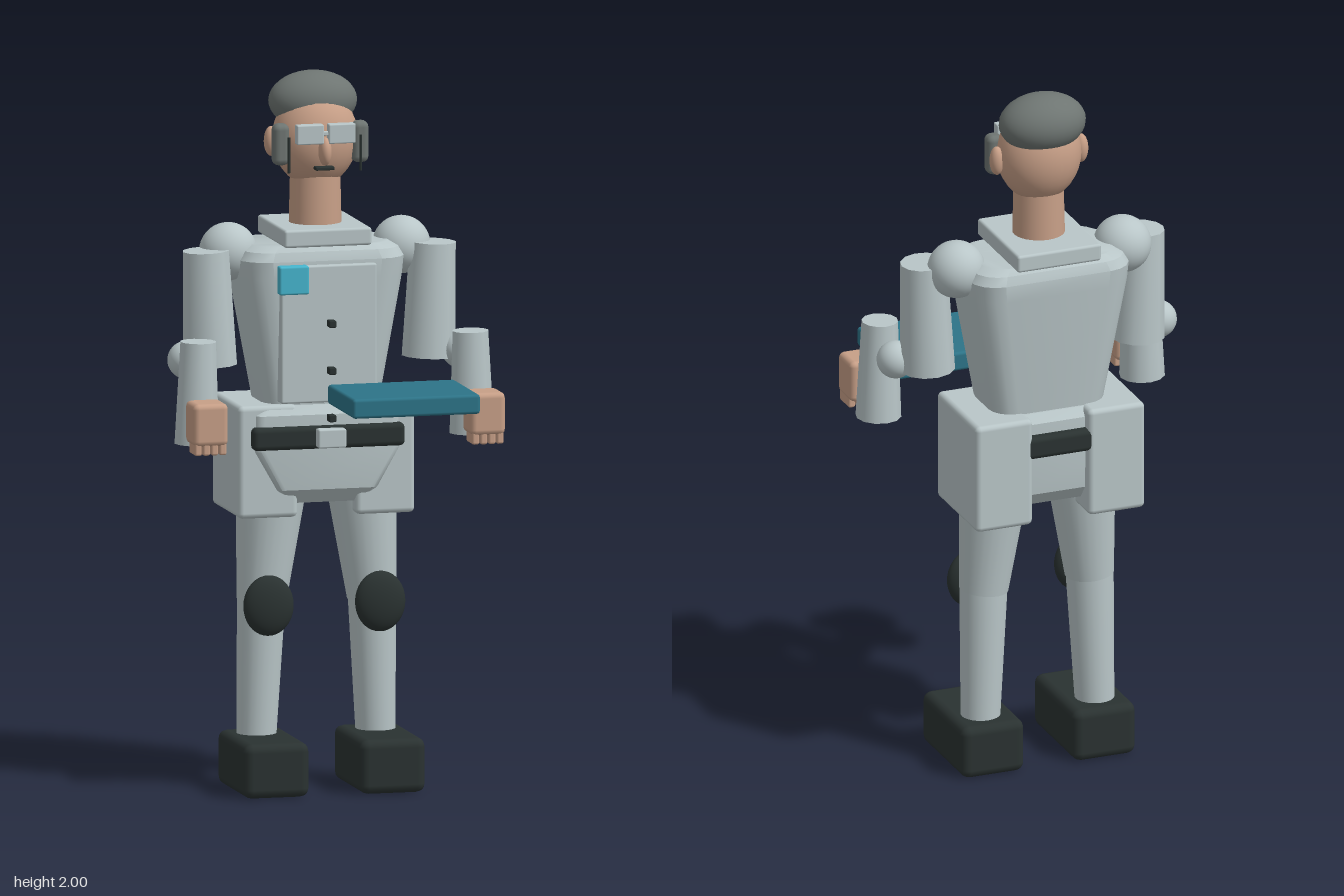
import * as THREE from 'three';
import { toCreasedNormals } from 'three/addons/utils/BufferGeometryUtils.js';
import { RoundedBoxGeometry } from 'three/addons/geometries/RoundedBoxGeometry.js';

const material = (name, color) => {
  const m = new THREE.MeshStandardMaterial({ color });
  m.name = name;
  return m;
};

export function createModel() {
  const suit = material('pale grey suit', 0xb9c6c8);
  const skin = material('skin', 0xc79f87);
  const hairGrey = material('grey hair', 0x6e7572);
  const dark = material('charcoal', 0x2a3231);
  const teal = material('teal tablet', 0x2d7488);
  const cyan = material('cyan badge', 0x46b5cd);

  const model = new THREE.Group();
  model.name = 'technician';

  const add = (name, geometry, mat, x = 0, y = 0, z = 0) => {
    const mesh = new THREE.Mesh(geometry, mat);
    mesh.name = name;
    mesh.position.set(x, y, z);
    model.add(mesh);
    return mesh;
  };

  // Rounded box given by its limits on each axis
  const block = (name, mat, [x0, x1], [y0, y1], [z0, z1], r = 0.01) =>
    add(name, new RoundedBoxGeometry(x1 - x0, y1 - y0, z1 - z0, 2, r), mat,
      (x0 + x1) / 2, (y0 + y1) / 2, (z0 + z1) / 2);

  const ellipsoid = (name, mat, x, y, z, rx, ry = rx, rz = rx) => {
    const mesh = add(name, new THREE.SphereGeometry(1, 28, 18), mat, x, y, z);
    mesh.scale.set(rx, ry, rz);
    return mesh;
  };

  // Tapered limb between two points, a at the top
  const limb = (name, mat, a, b, ra, rb, sides = 24) => {
    const top = new THREE.Vector3(...a), bottom = new THREE.Vector3(...b);
    const dir = top.clone().sub(bottom);
    const mid = top.clone().add(bottom).multiplyScalar(0.5);
    const mesh = add(name, new THREE.CylinderGeometry(ra, rb, dir.length(), sides), mat, mid.x, mid.y, mid.z);
    mesh.quaternion.setFromUnitVectors(new THREE.Vector3(0, 1, 0), dir.normalize());
    return mesh;
  };

  // Loft through rounded rectangles [y, halfX, halfZ, centreZ, cornerRadius]
  const loft = (sections) => {
    const steps = 4, n = 4 * (steps + 1), pos = [], idx = [];
    for (const [y, hx, hz, cz, r] of sections) {
      for (let c = 0; c < 4; c++) {
        const sx = c === 0 || c === 3 ? 1 : -1, sz = c < 2 ? 1 : -1;
        for (let s = 0; s <= steps; s++) {
          const t = (c + s / steps) * Math.PI / 2;
          pos.push(sx * (hx - r) + r * Math.cos(t), y, cz + sz * (hz - r) + r * Math.sin(t));
        }
      }
    }
    for (let k = 0; k < sections.length - 1; k++) {
      for (let i = 0; i < n; i++) {
        const j = (i + 1) % n, a = k * n + i, b = k * n + j;
        idx.push(a, a + n, b, b, a + n, b + n);
      }
    }
    const last = (sections.length - 1) * n;
    for (let i = 1; i < n - 1; i++) {
      idx.push(0, i, i + 1, last, last + i + 1, last + i);
    }
    const g = new THREE.BufferGeometry();
    g.setAttribute('position', new THREE.Float32BufferAttribute(pos, 3));
    g.setIndex(idx);
    return toCreasedNormals(g, 0.5);
  };

  // Torso and hips
  add('torso', loft([
    [0.98, 0.15, 0.105, -0.16, 0.06],
    [1.44, 0.232, 0.14, -0.167, 0.08],
    [1.49, 0.236, 0.143, -0.167, 0.08],
    [1.515, 0.222, 0.132, -0.167, 0.075],
    [1.53, 0.195, 0.112, -0.167, 0.065],
  ]), suit);
  add('hips', loft([
    [0.81, 0.12, 0.11, -0.16, 0.03],
    [0.85, 0.15, 0.14, -0.16, 0.03],
    [0.96, 0.21, 0.145, -0.16, 0.03],
    [1.06, 0.21, 0.14, -0.16, 0.03],
    [1.085, 0.19, 0.12, -0.16, 0.03],
  ]), suit);
  block('belt', dark, [-0.218, 0.218], [0.965, 1.03], [-0.328, -0.002], 0.015);
  block('buckle', suit, [-0.04, 0.04], [0.972, 1.025], [-0.005, 0.03], 0.005);

  // Jacket details
  block('frontPanel', suit, [-0.137, 0.137], [1.095, 1.48], [-0.06, -0.008], 0.006);
  for (const y of [1.32, 1.188, 1.055])
    block('button', dark, [-0.01, 0.01], [y - 0.01, y + 0.01], [0.002, 0.033], 0.003);
  block('chestBadge', cyan, [-0.15, -0.065], [1.405, 1.485], [-0.01, 0.024], 0.006);
  block('collar', suit, [-0.125, 0.125], [1.53, 1.58], [-0.32, -0.017], 0.008);

  // Head
  add('neck', new THREE.CylinderGeometry(0.07, 0.074, 0.17, 28), skin, 0, 1.63, -0.163);
  ellipsoid('head', skin, 0, 1.816, -0.165, 0.12, 0.138, 0.107);
  ellipsoid('hair', hairGrey, 0, 1.917, -0.19, 0.125, 0.083, 0.095);
  ellipsoid('nose', skin, 0, 1.792, -0.055, 0.018, 0.04, 0.026);
  block('mouth', dark, [-0.027, 0.027], [1.739, 1.749], [-0.085, -0.05], 0.003);
  block('glassesBridge', suit, [-0.02, 0.02], [1.837, 1.849], [-0.06, -0.046], 0.003);

  // Tablet held by the left hand
  block('tablet', teal, [-0.02, 0.345], [1.1, 1.155], [0.047, 0.33], 0.009);

  // Mirrored parts
  for (const s of [-1, 1]) {
    const side = (a, b) => (s > 0 ? [a, b] : [-b, -a]);

    ellipsoid('ear', skin, s * 0.126, 1.81, -0.165, 0.02, 0.042, 0.022);
    block('sideburn', hairGrey, side(0.09, 0.137), [1.75, 1.867], [-0.134, -0.086], 0.018);
    block('lens', suit, side(0.007, 0.084), [1.815, 1.87], [-0.066, -0.036], 0.004);
    add('glassesArm', new THREE.CylinderGeometry(0.004, 0.004, 0.1, 8), dark, s * 0.103, 1.785, -0.057);

    // Arm
    ellipsoid('shoulder', suit, s * 0.248, 1.505, -0.168, 0.081);
    limb('upperArm', suit, [s * 0.325, 1.518, -0.117], [s * 0.313, 1.198, -0.117], 0.066, 0.077, 12);
    ellipsoid('elbow', suit, s * 0.392, 1.22, -0.075, 0.053);
    limb('forearm', suit, [s * 0.39, 1.29, 0.047], [s * 0.394, 1.005, 0.047], 0.051, 0.064, 12);
    block('hand', skin, side(0.347, 0.447), [1.02, 1.14], [0.118, 0.22], 0.016);
    for (let i = 0; i < 4; i++) {
      const x = 0.362 + i * 0.0235;
      block('finger', skin, side(x - 0.01, x + 0.01), [0.995, 1.05], [0.145, 0.215], 0.006);
    }

    // Leg
    block('hipPouch', suit, side(0.083, 0.253), [0.772, 1.088], [-0.33, -0.032], 0.015);
    limb('thigh', suit, [s * 0.128, 0.86, -0.152], [s * 0.158, 0.525, -0.147], 0.1, 0.069);
    limb('shin', suit, [s * 0.158, 0.55, -0.147], [s * 0.171, 0.13, -0.155], 0.068, 0.055);
    ellipsoid('kneePad', dark, s * 0.16, 0.523, -0.062, 0.072, 0.085, 0.034);
    block('shoe', dark, side(0.073, 0.26), [0, 0.153], [-0.25, 0.065], 0.025);
  }

  return model;
}
